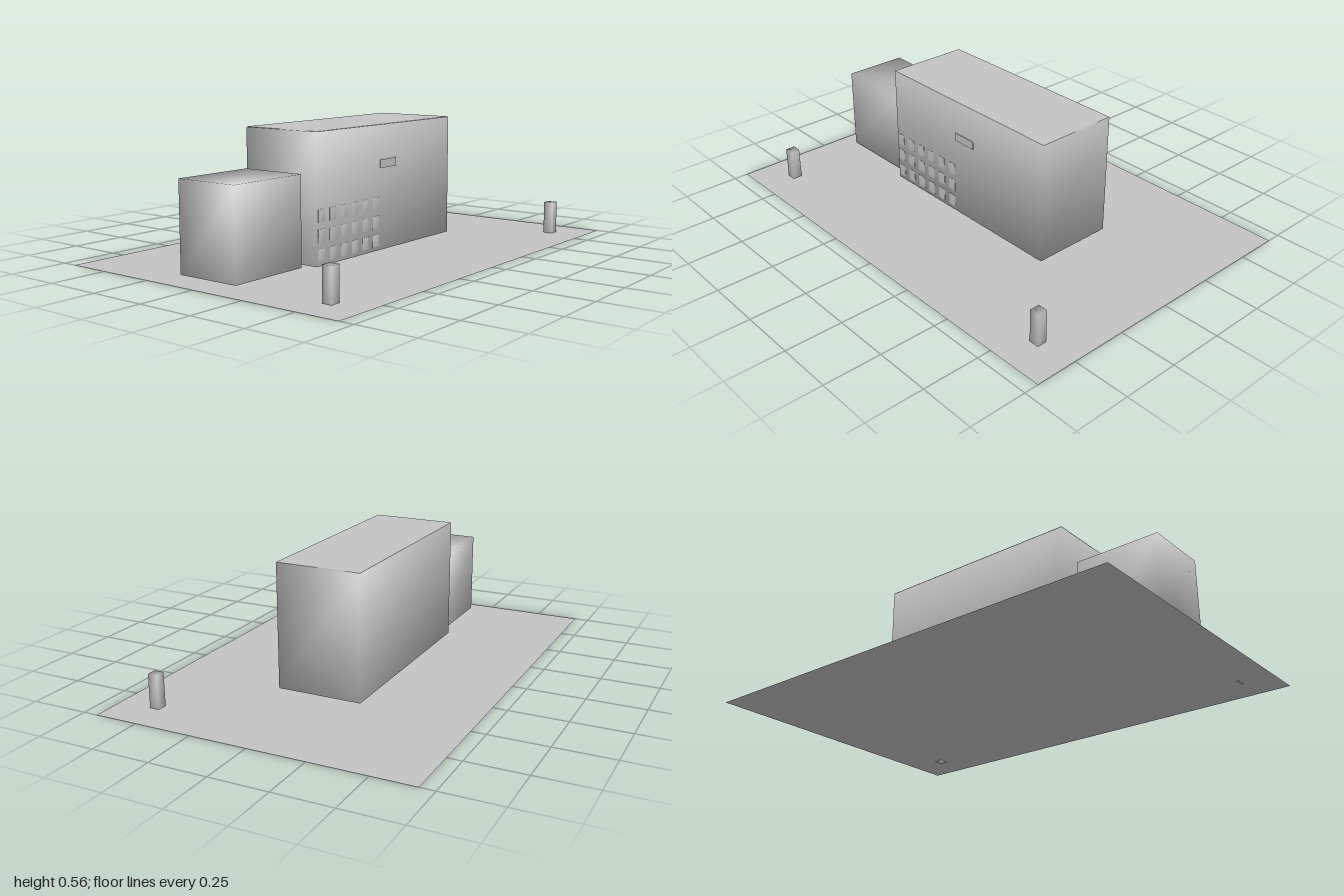
import * as THREE from 'three';
import { mergeVertices } from 'three/addons/utils/BufferGeometryUtils.js';

const concrete = new THREE.MeshStandardMaterial({ color: 0xc4c4c4 });
concrete.name = 'concrete grey';
const groundGrey = concrete.clone();
groundGrey.name = 'ground grey';
groundGrey.side = THREE.DoubleSide;

// Box between two corners; soft boxes share their normals across the edges
function block(name, [x0, y0, z0], [x1, y1, z1], soft = false) {
  let geometry = new THREE.BoxGeometry(x1 - x0, y1 - y0, z1 - z0);
  if (soft) {
    geometry.deleteAttribute('normal');
    geometry.deleteAttribute('uv');
    geometry = mergeVertices(geometry);
    geometry.computeVertexNormals();
  }
  const mesh = new THREE.Mesh(geometry, concrete);
  mesh.position.set((x0 + x1) / 2, (y0 + y1) / 2, (z0 + z1) / 2);
  mesh.name = name;
  return mesh;
}

export function createModel() {
  const model = new THREE.Group();
  model.name = 'buildingSite';

  // Flat ground sheet
  const ground = new THREE.Mesh(new THREE.PlaneGeometry(2, 1.375), groundGrey);
  ground.rotation.x = -Math.PI / 2;
  ground.name = 'ground';
  model.add(ground);

  // Main hall with a flat roof sheet, and the smaller annex
  model.add(block('mainHall', [-0.48, 0.015, -0.208], [0.476, 0.555, 0.166], true));
  const roof = new THREE.Mesh(new THREE.PlaneGeometry(0.956, 0.374), groundGrey);
  roof.rotation.x = -Math.PI / 2;
  roof.position.set(-0.002, 0.5565, -0.021);
  roof.name = 'roof';
  model.add(roof);
  model.add(block('annex', [-0.9, 0.015, -0.168], [-0.525, 0.39, 0.123], true));

  // Windows: three rows of six on the left half of the facade
  const windows = new THREE.Group();
  windows.name = 'windows';
  for (let row = 0; row < 3; row++) {
    for (let col = 0; col < 6; col++) {
      const x = -0.473 + col * 0.0727;
      const y = 0.033 + row * 0.08;
      windows.add(block('window', [x, y, 0.165], [x + 0.04, y + 0.053, 0.169], true));
    }
  }
  model.add(windows);

  // Sign plate on the facade
  model.add(block('signPlate', [-0.06, 0.37, 0.165], [0.055, 0.406, 0.17]));

  // Gate posts at the front corners
  model.add(block('rightGatePost', [-0.858, 0, 0.5], [-0.814, 0.14, 0.543], true));
  model.add(block('leftGatePost', [0.806, 0, 0.5], [0.85, 0.145, 0.543], true));
  return model;
}
